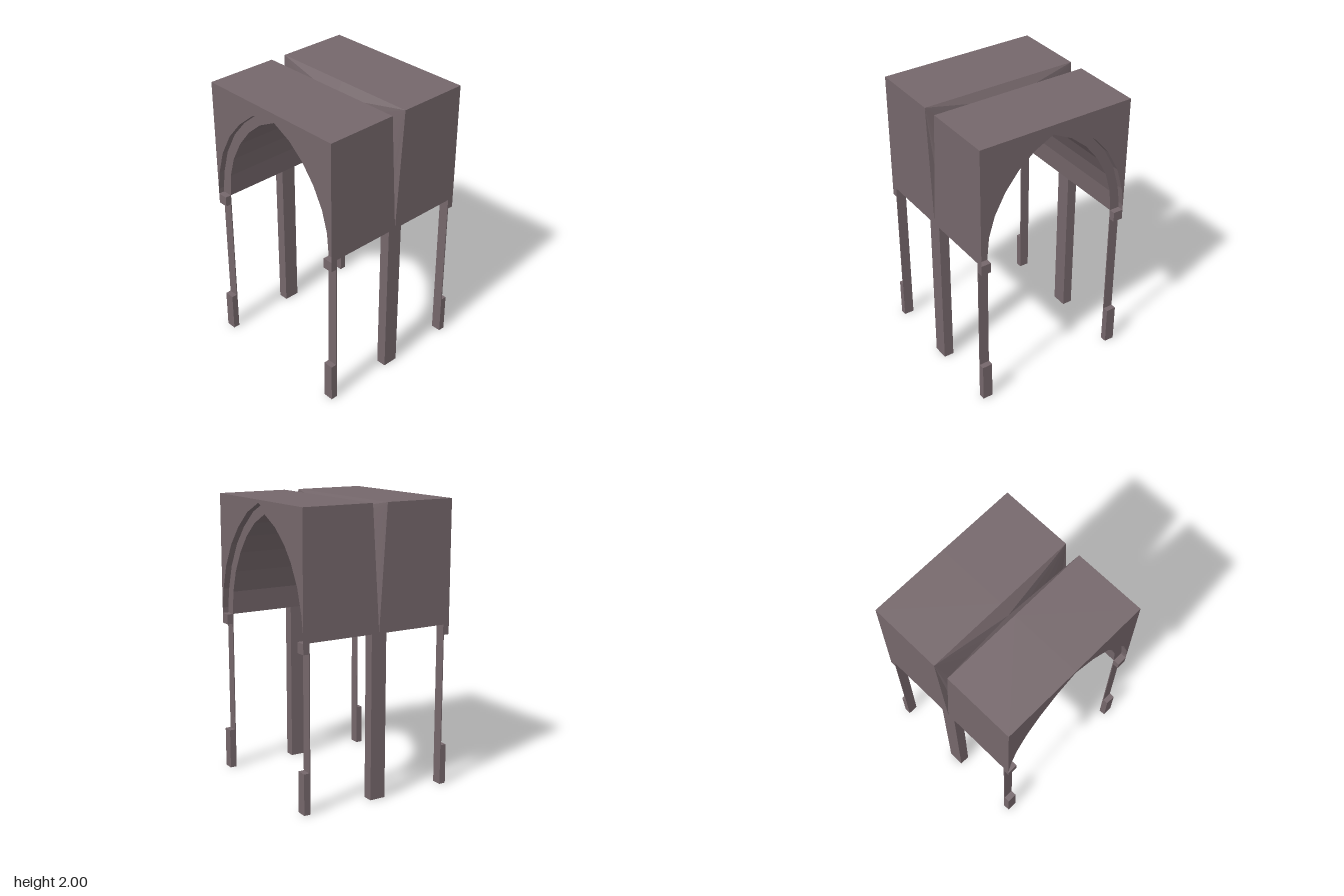
import * as THREE from 'three';

const W = 0.573;      // half width and half depth
const SPRING = 1.147; // underside of the vault
const TOP = 2;
const RECESS = 0.529; // depth position of the arch band
const GROOVE = 0.057; // half width of the roof groove
const LEG = 0.073;    // leg width

// half arches from springing to apex
const inner = [[0.5, SPRING], [0.485, 1.31], [0.44, 1.46], [0.362, 1.605], [0.262, 1.73], [0.143, 1.83], [0, 1.902]];
const outer = [[W, 1.185], [0.552, 1.325], [0.502, 1.495], [0.412, 1.66], [0.3, 1.79], [0.16, 1.905], [0, 1.98]];

// collects triangles in all four mirrored quadrants, turned to face the hint direction
function makeBuilder() {
  const pos = [];
  const tri = (a, b, c, hint) => {
    for (const sx of [1, -1]) for (const sz of [1, -1]) {
      const m = ([x, y, z]) => new THREE.Vector3(x * sx, y, z * sz);
      const [A, B, C, H] = [a, b, c, hint].map(m);
      const n = B.clone().sub(A).cross(C.clone().sub(A));
      if (n.length() < 1e-9) continue;
      const order = n.dot(H) > 0 ? [A, B, C] : [A, C, B];
      order.forEach((p) => pos.push(p.x, p.y, p.z));
    }
  };
  const fan = (pts, hint) => {
    for (let i = 1; i < pts.length - 1; i++) tri(pts[0], pts[i], pts[i + 1], hint);
  };
  const geometry = () => {
    const g = new THREE.BufferGeometry();
    g.setAttribute('position', new THREE.Float32BufferAttribute(pos, 3));
    g.computeVertexNormals();
    return g;
  };
  return { fan, geometry };
}

const at = (pts, z) => pts.map(([x, y]) => [x, y, z]);

// strip along an arch between two depths, facing the opening
function sweep(fan, pts, z0, z1) {
  for (let i = 0; i < pts.length - 1; i++) {
    const [a, b] = [pts[i], pts[i + 1]];
    fan([[...a, z0], [...b, z0], [...b, z1], [...a, z1]], [-(a[0] + b[0]) / 2, 1 - (a[1] + b[1]) / 2, 0]);
  }
}

export function createModel() {
  const group = new THREE.Group();
  const stone = new THREE.MeshStandardMaterial({ color: 0x75676b });
  stone.name = 'mauve stone';
  const add = (name, geometry) => {
    const mesh = new THREE.Mesh(geometry, stone);
    mesh.name = name;
    group.add(mesh);
    return mesh;
  };
  const box = (name, w, x, y0, y1, z0, z1) =>
    add(name, new THREE.BoxGeometry(w, y1 - y0, Math.abs(z1 - z0))).position.set(x, (y0 + y1) / 2, (z0 + z1) / 2);

  // outer walls, roof and underside
  const walls = makeBuilder();
  walls.fan([[W, TOP, W], ...at(outer, W), [0, TOP, W]], [0, 0, 1]);
  walls.fan([[W, SPRING, 0], [W, SPRING, W], [W, TOP, W], [W, TOP, GROOVE]], [1, 0, 0]);
  walls.fan([[0, TOP, GROOVE], [W, TOP, GROOVE], [W, TOP, W], [0, TOP, W]], [0, 1, 0]);
  walls.fan([[0.5, SPRING, 0], [W, SPRING, 0], [W, SPRING, RECESS], [0.5, SPRING, RECESS]], [0, -1, 0]);
  add('vaultBlock', walls.geometry());

  // pointed tunnel surface
  const vault = makeBuilder();
  sweep(vault.fan, inner, RECESS, 0);
  add('vaultCeiling', vault.geometry());

  // recessed band around each arch mouth
  const band = makeBuilder();
  sweep(band.fan, [[W, SPRING], ...outer], RECESS, W);
  band.fan(at([inner[0], [W, SPRING], outer[0]], RECESS), [0, 0, 1]);
  for (let i = 0; i < inner.length - 1; i++) {
    band.fan(at([inner[i], outer[i], outer[i + 1], inner[i + 1]], RECESS), [0, 0, 1]);
  }
  add('archBand', band.geometry());

  // V groove across roof and sides, running down to the tunnel line
  const groove = makeBuilder();
  groove.fan([[W, TOP, GROOVE], [W, SPRING, 0], ...at(inner, 0), [0, TOP, GROOVE]], [0, 0, -1]);
  add('roofGroove', groove.geometry());

  // legs: a square post mid-side, thin posts with base and capital at the corners
  for (const sx of [1, -1]) {
    const x = sx * (W - LEG / 2);
    box('middlePost', LEG, x, 0, SPRING, -GROOVE, GROOVE);
    for (const sz of [1, -1]) {
      box('cornerPost', LEG, x, 0.285, 1.075, sz * 0.526, sz * 0.533);
      box('cornerBase', LEG, x, 0, 0.285, sz * 0.526, sz * W);
      box('cornerCapital', LEG, x, 1.075, SPRING, sz * 0.526, sz * W);
    }
  }
  return group;
}
